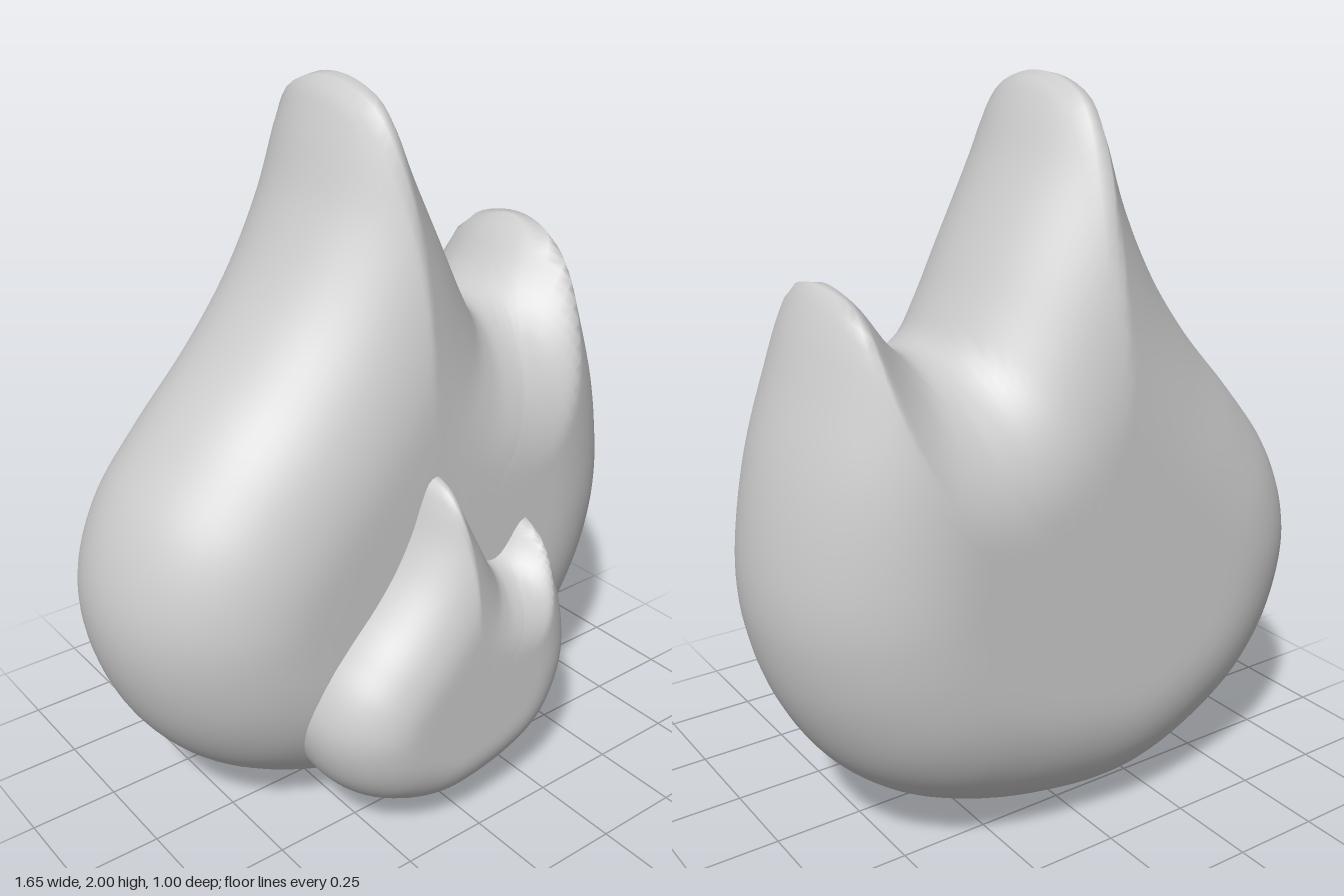
import * as THREE from 'three';

// Flame outline, counter-clockwise from the bottom
const OUTLINE = [
  [-0.1, 0.005], [0.1, 0.025], [0.3, 0.075], [0.5, 0.165], [0.65, 0.295], [0.76, 0.48],
  [0.815, 0.67], [0.825, 0.8], [0.81, 0.96], [0.775, 1.13], [0.72, 1.3], [0.655, 1.47],
  [0.605, 1.54], [0.55, 1.505], [0.46, 1.39], [0.4, 1.345], [0.33, 1.355], [0.28, 1.43],
  [0.2, 1.59], [0.1, 1.79], [0.03, 1.94], [-0.02, 2.0], [-0.08, 1.985], [-0.13, 1.89],
  [-0.2, 1.7], [-0.3, 1.51], [-0.43, 1.335], [-0.6, 1.15], [-0.73, 0.99], [-0.8, 0.84],
  [-0.825, 0.7], [-0.805, 0.54], [-0.73, 0.36], [-0.6, 0.205], [-0.42, 0.09], [-0.25, 0.025],
];
const SEGMENTS = 180;
const RINGS = 24;
const RADIUS = 0.405; // rounding radius and half thickness

// Distance from (x, y) to the closed outline
function edgeDistance(x, y, pts) {
  let best = Infinity;
  for (let i = 0; i < pts.length; i++) {
    const a = pts[i], b = pts[(i + 1) % pts.length];
    const ex = b.x - a.x, ey = b.y - a.y;
    const t = THREE.MathUtils.clamp(((x - a.x) * ex + (y - a.y) * ey) / (ex * ex + ey * ey), 0, 1);
    best = Math.min(best, Math.hypot(x - a.x - t * ex, y - a.y - t * ey));
  }
  return best;
}

// Rings shrink from the outline to a centre; depth follows a quarter-round of the edge distance
function flameGeometry() {
  const curve = new THREE.CatmullRomCurve3(
    OUTLINE.map(([x, y]) => new THREE.Vector3(x, y, 0)), true, 'centripetal');
  const pts = curve.getSpacedPoints(SEGMENTS).slice(0, SEGMENTS);
  const centre = new THREE.Vector3(0.08, 0.72, 0);
  const positions = [], indices = [];

  for (let j = -RINGS; j <= RINGS; j++) {
    const t = (j / RINGS) ** 2;
    for (const p of pts) {
      const q = p.clone().lerp(centre, t);
      const d = j === 0 ? 0 : Math.min(edgeDistance(q.x, q.y, pts) / RADIUS, 1);
      positions.push(q.x, q.y, Math.sign(j) * RADIUS * Math.sqrt(1 - (1 - d) ** 2));
    }
  }
  for (let j = 0; j < 2 * RINGS; j++) {
    for (let i = 0; i < SEGMENTS; i++) {
      const k = (i + 1) % SEGMENTS;
      const a = j * SEGMENTS + i, b = j * SEGMENTS + k;
      const c = b + SEGMENTS, d = a + SEGMENTS;
      if (j > 0) indices.push(a, b, c.valueOf() === b ? d : c);
      else indices.push(a, c, d);
      if (j > 0 && j < 2 * RINGS - 1) indices.push(a, c, d);
    }
  }
  const geometry = new THREE.BufferGeometry();
  geometry.setAttribute('position', new THREE.Float32BufferAttribute(positions, 3));
  geometry.setIndex(indices);
  geometry.computeVertexNormals();
  // The centre rings collapse to a point on a flat face
  const normal = geometry.attributes.normal;
  for (let i = 0; i < SEGMENTS; i++) {
    normal.setXYZ(i, 0, 0, -1);
    normal.setXYZ(2 * RINGS * SEGMENTS + i, 0, 0, 1);
  }
  return geometry;
}

export function createModel() {
  const group = new THREE.Group();
  group.name = 'flame';
  const material = new THREE.MeshStandardMaterial({ color: 0xcccccc });
  const geometry = flameGeometry();

  // Large flame body
  const outer = new THREE.Mesh(geometry, material);
  outer.name = 'outerFlame';
  outer.position.z = -0.095;
  group.add(outer);

  // Small flame set into the front
  const inner = new THREE.Mesh(geometry, material);
  inner.name = 'innerFlame';
  inner.scale.set(0.515, 0.49, 0.6);
  inner.position.set(-0.005, 0.053, 0.257);
  group.add(inner);

  return group;
}
